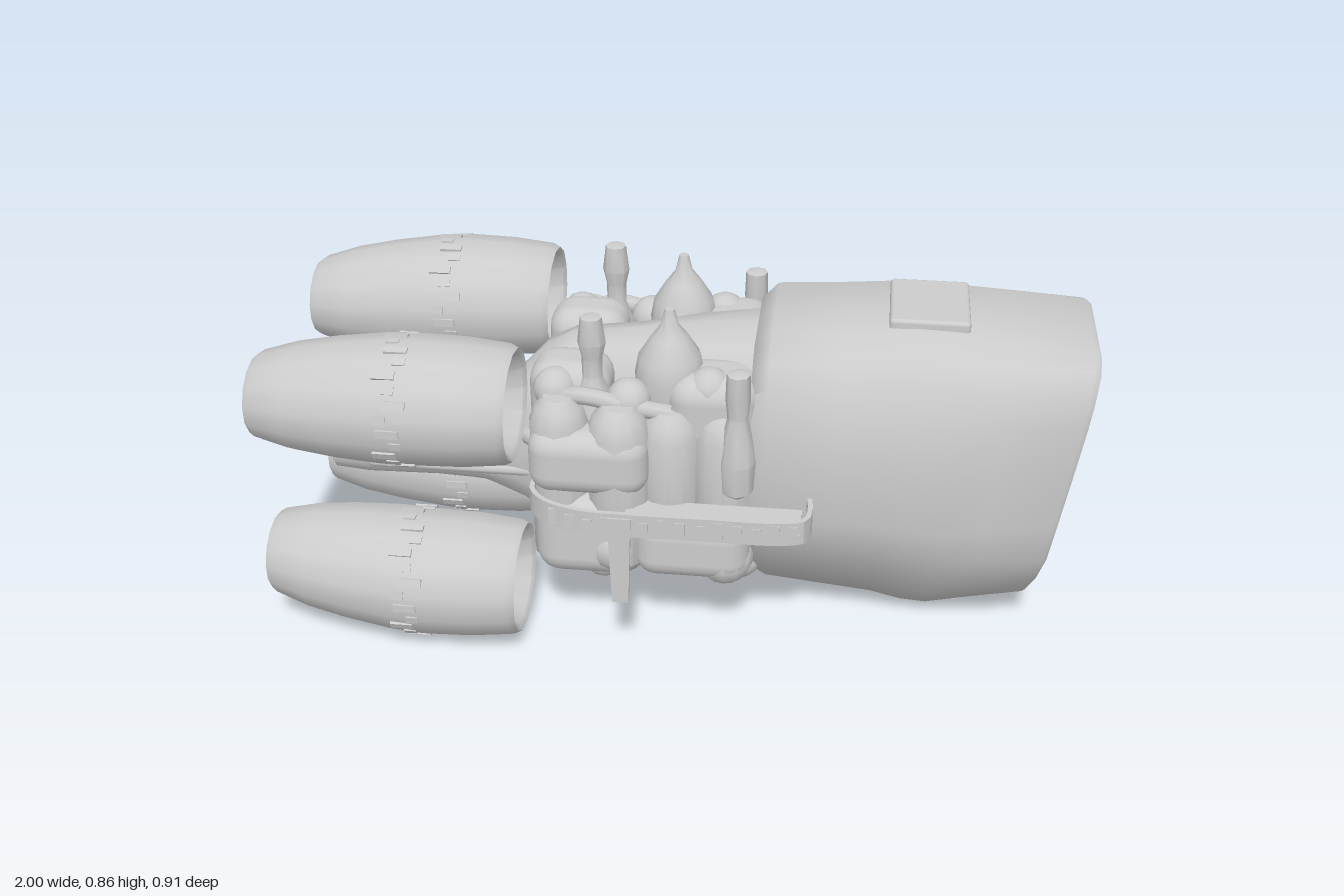
import * as THREE from 'three';
import { mergeGeometries, toCreasedNormals } from 'three/addons/utils/BufferGeometryUtils.js';
import { RoundedBoxGeometry } from 'three/addons/geometries/RoundedBoxGeometry.js';

const grey = new THREE.MeshStandardMaterial({ color: 0xcccccc });

function add(parent, name, geometry, x = 0, y = 0, z = 0) {
  const mesh = new THREE.Mesh(geometry, grey);
  mesh.name = name;
  mesh.position.set(x, y, z);
  parent.add(mesh);
  return mesh;
}

// Skin a series of rings (arrays of [x, y, z]) running top -> +z -> bottom -> -z.
function loft(rings, crease = 0.6) {
  const n = rings[0].length, index = [];
  for (let i = 0; i < rings.length - 1; i++) {
    for (let j = 0; j < n; j++) {
      const a = i * n + j, b = i * n + (j + 1) % n;
      index.push(a, b, a + n, b, b + n, a + n);
    }
  }
  const g = new THREE.BufferGeometry();
  g.setAttribute('position', new THREE.Float32BufferAttribute(rings.flat(2), 3));
  g.setIndex(index);
  return toCreasedNormals(g, crease);
}

// Elliptical ring; power below 1 squares it off.
function oval(x, cy, cz, ry, rz, n = 16, power = 1) {
  const bend = v => Math.sign(v) * Math.abs(v) ** power;
  return Array.from({ length: n }, (_, i) => {
    const a = i / n * Math.PI * 2;
    return [x, cy + ry * bend(Math.cos(a)), cz + rz * bend(Math.sin(a))];
  });
}

// Half outlines of the hull (z, y) as fractions: amidships and at the bow.
const midHalf = [[0, 1], [.5, 1], [.72, .95], [.85, .87], [.94, .78], [1, .66], [1, .42], [.93, .31], [.62, .12], [.33, .01], [0, 0]];
const bowHalf = [[0, 1], [.58, 1], [.78, .97], [.9, .88], [.95, .79], [.98, .62], [1, .4], [1, .25], [.82, .12], [.55, 0], [0, 0]];

function hullRing([x, top, bottom, w, blend, slant]) {
  const half = midHalf.map(([z, y], i) => {
    const zz = THREE.MathUtils.lerp(z, bowHalf[i][0], blend) * w;
    const yy = bottom + (top - bottom) * THREE.MathUtils.lerp(y, bowHalf[i][1], blend);
    return [x + (yy - 0.8) * slant, yy, zz];
  });
  const other = half.slice(1, -1).reverse().map(([a, b, c]) => [a, b, -c]);
  return [...half, ...other];
}

// Upright tank or post from (radius, y) pairs.
function turned(points, sides = 12) {
  const g = new THREE.LatheGeometry(points.map(p => new THREE.Vector2(...p)), sides);
  return toCreasedNormals(g, 0.8);
}

function engine(y0, y1, side) {
  const group = new THREE.Group();
  // x, radius along the nacelle, with a dished intake and a shallow exhaust
  const profile = [[-.985, 0], [-.985, .085], [-1, .095], [-.985, .105], [-.9, .128], [-.8, .143], [-.68, .154], [-.6, .155],
    [-.48, .152], [-.38, .142], [-.362, .133], [-.37, .12], [-.43, .098], [-.455, .06], [-.46, 0]];
  const at = x => {
    const t = THREE.MathUtils.clamp((-.6 - x) / .4, 0, 1);
    return [THREE.MathUtils.lerp(y0, y1, t), side * THREE.MathUtils.lerp(.284, .268, t)];
  };
  add(group, 'nacelle', loft(profile.map(([x, r]) => oval(x, ...at(x), r, r * 1.11, 14)), 0.7));
  // Ragged collar of small clamps, nearly flush with the skin
  const clamps = [];
  for (let i = 0; i < 28; i++) {
    const a = i / 28 * Math.PI * 2;
    const x = -.63 + (i % 3 - 1) * .016;
    const [cy, cz] = at(x);
    const g = new THREE.BoxGeometry(.03 + (i % 2) * .025, .014, .02);
    g.rotateX(a);
    g.translate(x, cy + .15 * Math.cos(a), cz + .166 * Math.sin(a));
    clamps.push(g);
  }
  add(group, 'engineCollar', mergeGeometries(clamps));
  return group;
}

// Everything clustered on one flank, mirrored by side
function flank(side) {
  const g = new THREE.Group();
  const tank = (name, x, z, r, y0, y1, neck = .5) => add(g, name, turned([
    [0, y0], [r * .6, y0 + r * .12], [r, y0 + r * .6], [r, y1 - r * .9], [r * .8, y1 - r * .35], [r * neck, y1], [0, y1]]), x, 0, side * z);
  const block = (name, x, y, z, w, h, d, r = .025) =>
    add(g, name, new RoundedBoxGeometry(w, h, d, 3, r), x, y, side * z);

  tank('rearTank', -.265, .255, .072, .2, .67);
  tank('middleTank', -.12, .265, .078, .2, .66);
  tank('frontTank', 0, .235, .075, .22, .64);
  tank('forwardTank', .13, .22, .075, .2, .64);
  block('tankCradle', -.2, .31, .265, .25, .22, .15, .06);
  block('lowerHousing', .06, .3, .275, .28, .17, .15, .055);
  block('upperHousing', -.19, .52, .28, .29, .17, .13, .055);
  block('innerMachinery', .1, .55, .17, .22, .34, .18, .06);
  block('rearMachinery', -.25, .58, .14, .2, .28, .16, .06);
  block('keelHousing', .07, .175, .08, .3, .17, .19, .06);
  block('rearKeelHousing', -.23, .21, .1, .25, .2, .16, .06);

  // Bulbous dome with a thin spike
  add(g, 'domeTank', turned([[0, .5], [.06, .52], [.078, .6], [.085, .69], [.076, .74], [.045, .79], [.022, .82], [.012, .862], [0, .862]]), -.01, 0, side * .15);
  // Signal posts
  add(g, 'rearPost', turned([[0, .58], [.055, .6], [.045, .65], [.025, .7], [.025, .75], [.034, .79], [.026, .855], [0, .86]], 8), -.19, 0, side * .2);
  add(g, 'frontPost', turned([[0, .42], [.04, .45], [.045, .53], [.035, .6], [.025, .65], [.03, .7], [.028, .765], [0, .775]], 8), .165, 0, side * .275);

  // Round fittings around the tanks
  for (const [x, y, z, r] of [[-.19, .115, .09, .065], [-.28, .66, .2, .055], [-.1, .65, .22, .055],
    [.09, .68, .2, .055], [.14, .26, .28, .07], [-.13, .28, .285, .07]]) {
    add(g, 'roundFitting', new THREE.SphereGeometry(r, 12, 9), x, y, side * z);
  }
  // Pipes linking the fittings
  for (const pts of [
    [[-.28, .65, .22], [-.2, .67, .25], [-.1, .65, .25], [0, .63, .24]],
    [[-.37, .48, .13], [-.3, .5, .2], [-.2, .62, .2]]]) {
    const curve = new THREE.CatmullRomCurve3(pts.map(p => new THREE.Vector3(p[0], p[1], p[2] * side)));
    add(g, 'pipe', new THREE.TubeGeometry(curve, 16, .022, 8));
  }

  // Thin rail looping round the machinery
  const path = new THREE.CatmullRomCurve3([[-.31, .24], [-.325, .32], [-.29, .37], [-.2, .405], [-.08, .41],
    [.1, .406], [.28, .4], [.335, .382], [.345, .33], [.34, .28]].map(([x, z]) => new THREE.Vector3(x, 0, z * side)), false, 'centripetal');
  const pts = path.getSpacedPoints(40);
  const rail = pts.map((p, i) => {
    const t = path.getTangentAt(i / 40);
    const sx = -t.z * .006, sz = t.x * .006, y = THREE.MathUtils.lerp(.392, .383, i / 40);
    return [[p.x - sx, y + .062, p.z - sz], [p.x + sx, y + .062, p.z + sz], [p.x + sx, y, p.z + sz], [p.x - sx, y, p.z - sz]];
  });
  add(g, 'sideRail', loft(rail));
  const studs = [];
  for (let i = 8; i < 35; i += 2) {
    const b = new THREE.BoxGeometry(.022, .025 + (i % 3) * .01, .018);
    b.translate(pts[i].x, .418, pts[i].z);
    studs.push(b);
  }
  add(g, 'railStuds', mergeGeometries(studs));
  add(g, 'railShelf', new THREE.BoxGeometry(.42, .018, .11), .115, .405, side * .347);

  // Hanging blade under the rail
  const blade = new THREE.Shape([[-.028, .44], [.028, .44], [.02, .2], [-.02, .2]].map(p => new THREE.Vector2(...p)));
  add(g, 'hangingBlade', new THREE.ExtrudeGeometry(blade, { depth: .012, bevelEnabled: false }), -.1, 0, side * .415 - .006);
  return g;
}

export function createModel() {
  const model = new THREE.Group();
  model.name = 'spaceship';

  // Forward hull with slanted, recessed bow: x, top, bottom, half width, bow blend, slant
  add(model, 'forwardHull', loft([
    [.19, .46, .44, 0, 0, 0], [.19, .765, .09, .255, 0, 0], [.23, .803, .07, .284, 0, 0], [.4, .813, .053, .288, 0, 0],
    [.5, .822, .042, .286, 0, 0], [.58, .825, .022, .284, 0, 0], [.66, .822, .022, .281, .1, .02], [.8, .812, .064, .273, .5, .08],
    [.985, .797, .11, .256, .95, .15], [1, .787, .117, .246, 1, .16], [.997, .778, .127, .236, 1, .16], [.97, .76, .145, .222, 1, .16],
    [.955, .62, .29, .12, 1, .16], [.953, .46, .44, 0, 1, .16]].map(hullRing), 0.85));
  // Low sill and a shallow fold on each side inside the bow recess
  add(model, 'bowSill', new RoundedBoxGeometry(.03, .11, .2, 2, .012), .862, .22, 0).rotation.z = -.16;
  for (const s of [-1, 1]) {
    const fold = add(model, 'bowFold', new THREE.SphereGeometry(1, 12, 8), .898, .46, s * .165);
    fold.scale.set(.018, .1, .035);
    fold.rotation.set(s * .35, 0, -.16);
  }

  // Spine from the tail to the hull: x, centre y, half height, half width
  add(model, 'spine', loft([
    [-.86, .4, .001, .001], [-.86, .4, .085, .085], [-.89, .4, .1, .105], [-.8, .4, .105, .115], [-.62, .4, .105, .108],
    [-.5, .41, .125, .108], [-.4, .42, .18, .12], [-.34, .43, .24, .125], [-.27, .43, .28, .13], [-.1, .43, .3, .14],
    [.02, .43, .32, .18], [.2, .43, .335, .23]
  ].map(([x, y, ry, rz]) => oval(x, y, 0, ry, rz, 16, .75)), 0.8));
  // Conduits along the spine
  for (const y of [.36, .46]) {
    const conduit = new THREE.CapsuleGeometry(.016, .4, 3, 8).rotateZ(Math.PI / 2);
    for (const s of [-1, 1]) add(model, 'spineConduit', conduit, -.58, y, s * .104);
  }

  // Tail fittings
  for (let i = 0; i < 8; i++) {
    const a = i / 8 * Math.PI * 2;
    add(model, 'tailFin', new THREE.BoxGeometry(.045, .02, .05), -.875, .4 + .085 * Math.cos(a), .09 * Math.sin(a)).rotation.x = a;
  }
  add(model, 'tailProbe', new THREE.BoxGeometry(.08, .02, .05), -.885, .385, 0);

  // Roof plate and chin fin
  add(model, 'roofPlate', new RoundedBoxGeometry(.19, .035, .23, 2, .01), .6, .828, 0);
  const fin = new THREE.Shape([[.6, .03], [.72, .015], [.79, .045], [.73, .09]].map(p => new THREE.Vector2(...p)));
  add(model, 'chinFin', new THREE.ExtrudeGeometry(fin, { depth: .12, bevelEnabled: false }), 0, 0, -.06);

  // Four engines and the machinery on both flanks
  for (const side of [1, -1]) {
    for (const [name, y0, y1] of [['upperEngine', .655, .635], ['lowerEngine', .157, .18]]) {
      const e = engine(y0, y1, side);
      e.name = name;
      model.add(e);
    }
    const f = flank(side);
    f.name = side > 0 ? 'leftMachinery' : 'rightMachinery';
    model.add(f);
  }
  return model;
}
